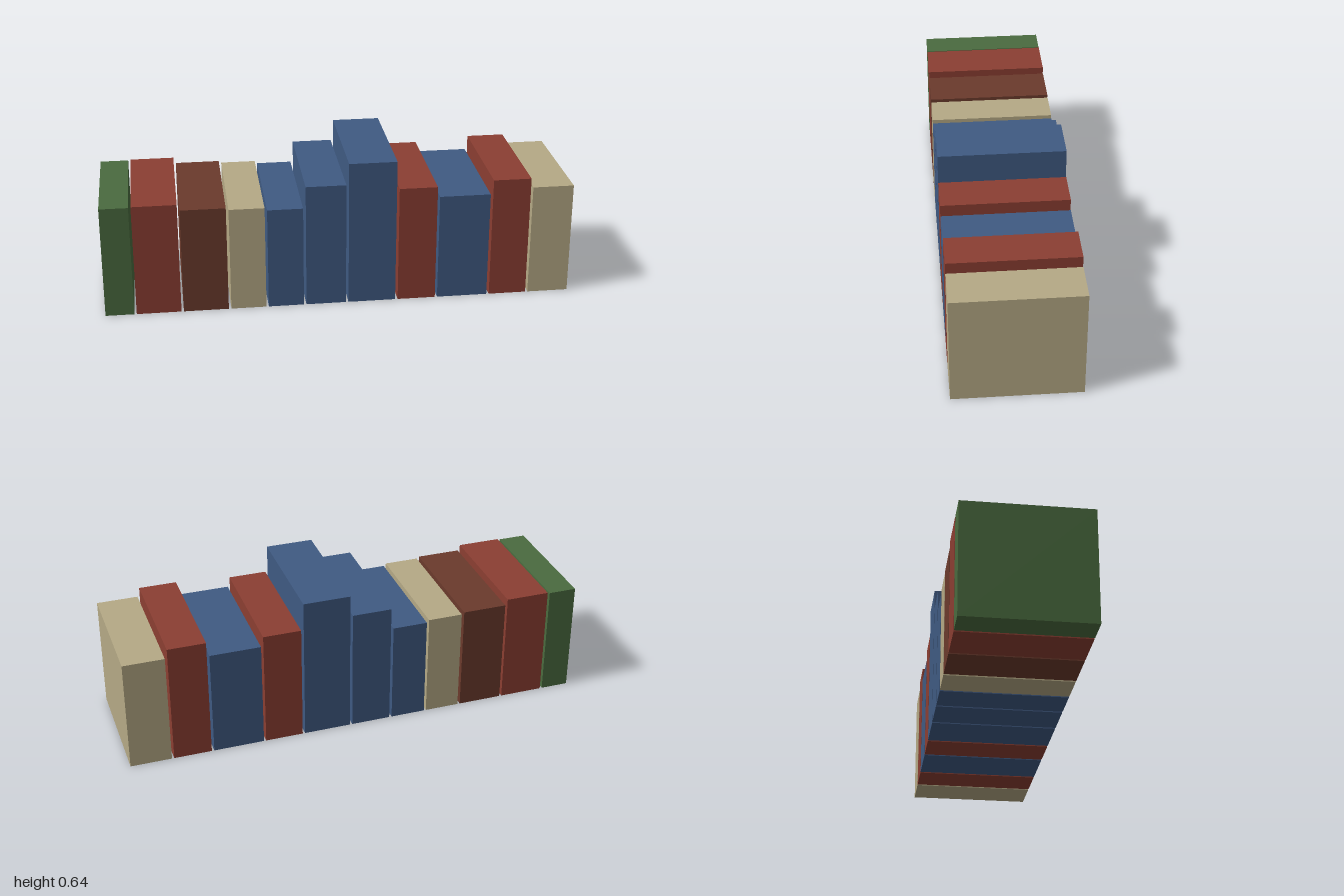
import * as THREE from 'three';

const material = (name, color) => {
  const m = new THREE.MeshStandardMaterial({ color });
  m.name = name;
  return m;
};

export function createModel() {
  const group = new THREE.Group();
  group.name = 'bookRow';

  const green = material('green', 0x4a6b3f);
  const red = material('red', 0x8b3e32);
  const brown = material('brown', 0x6b3a2c);
  const tan = material('tan', 0xb5a985);
  const blue = material('blue', 0x3f5a82);

  // Each book: right edge x, left edge x, height, cover colour
  const books = [
    [-1.0, -0.879, 0.49, green],
    [-0.869, -0.68, 0.493, red],
    [-0.67, -0.479, 0.467, brown],
    [-0.468, -0.318, 0.459, tan],
    [-0.308, -0.157, 0.448, blue],
    [-0.146, 0.025, 0.544, blue],
    [0.036, 0.239, 0.638, blue],
    [0.25, 0.413, 0.515, red],
    [0.423, 0.641, 0.47, blue],
    [0.652, 0.814, 0.533, red],
    [0.824, 1.0, 0.492, tan],
  ];
  const depth = 0.535;

  // Upright books standing side by side with narrow gaps
  books.forEach(([x0, x1, height, cover], i) => {
    const book = new THREE.Mesh(new THREE.BoxGeometry(x1 - x0, height, depth), cover);
    book.name = `book${i + 1}`;
    book.position.set((x0 + x1) / 2, height / 2, 0);
    group.add(book);
  });

  return group;
}
